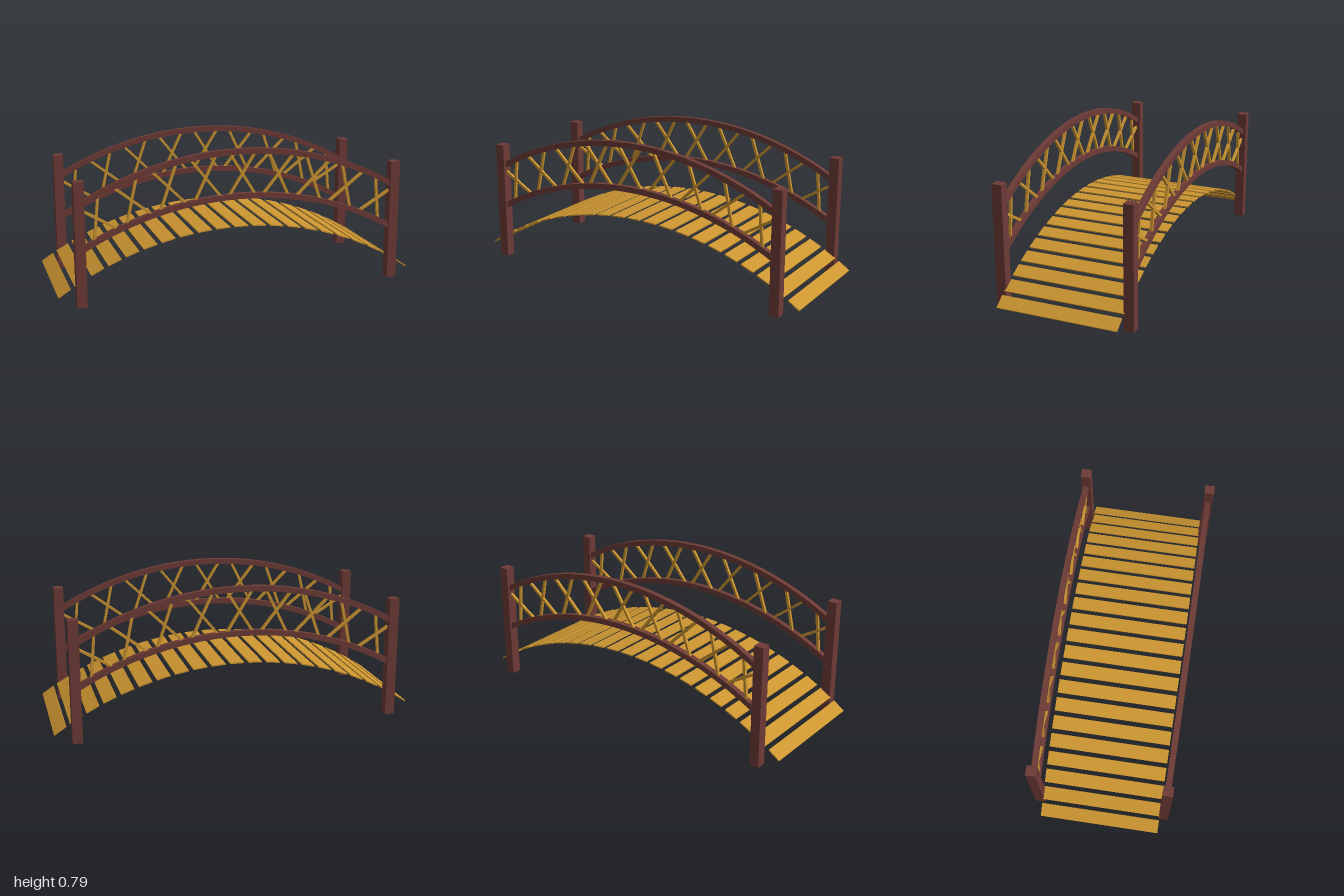
import * as THREE from 'three';

const RADIUS = 1.745;      // shared curvature of deck and rails
const TILT = -0.005;       // slight lean of the arched parts
const darkWood = new THREE.MeshStandardMaterial({ color: 0x6e3b36 });
const lightWood = new THREE.MeshStandardMaterial({ color: 0xcc9530 });

// Point on an arch with its crown at height top
const archPoint = (angle, top, r = RADIUS) =>
  new THREE.Vector2(r * Math.sin(angle), top - RADIUS + r * Math.cos(angle));

function box(name, w, h, d, material, parent) {
  const mesh = new THREE.Mesh(new THREE.BoxGeometry(w, h, d), material);
  mesh.name = name;
  parent.add(mesh);
  return mesh;
}

// Curved rail of square section, swept along the arch
function rail(name, crown, parent) {
  const half = 0.015, end = Math.asin(0.87 / RADIUS), steps = 40;
  const outer = [], inner = [];
  for (let i = 0; i <= steps; i++) {
    const a = -end + (2 * end * i) / steps;
    outer.push(archPoint(a, crown, RADIUS + half));
    inner.push(archPoint(a, crown, RADIUS - half));
  }
  const shape = new THREE.Shape([...outer, ...inner.reverse()]);
  const geometry = new THREE.ExtrudeGeometry(shape, { depth: 2 * half, bevelEnabled: false });
  geometry.translate(0, 0, -half);
  const mesh = new THREE.Mesh(geometry, darkWood);
  mesh.name = name;
  parent.add(mesh);
}

export function createModel() {
  const model = new THREE.Group();
  model.name = 'archedFootbridge';

  // Deck planks following the arch
  const deck = new THREE.Group();
  deck.name = 'deck';
  deck.rotation.z = TILT;
  for (let i = -10; i <= 10; i++) {
    const a = i * 0.0586;
    const p = archPoint(a, 0.357);
    const plank = box('plank', 0.077, 0.007, 0.67, lightWood, deck);
    plank.position.set(p.x, p.y, 0);
    plank.rotation.z = -a;
  }
  model.add(deck);

  for (const side of [-1, 1]) {
    // Corner posts
    for (const end of [-1, 1]) {
      box('post', 0.054, 0.67, 0.055, darkWood, model).position.set(end * 0.88, 0.335, side * 0.358);
    }

    // Railing with two arched rails
    const railing = new THREE.Group();
    railing.name = side > 0 ? 'frontRailing' : 'backRailing';
    railing.position.z = side * 0.358;
    railing.rotation.z = TILT;
    rail('topRail', 0.775, railing);
    rail('bottomRail', 0.533, railing);

    // Crossed lattice sticks, turned to follow the arch
    const lean = 0.56;
    for (let i = -4; i <= 4; i++) {
      const a = i * 0.117;
      const p = archPoint(a, 0.654);
      const length = (0.242 * Math.cos(a)) / Math.cos(lean);
      for (const s of [-1, 1]) {
        const stick = box('latticeStick', 0.014, length, 0.015, lightWood, railing);
        stick.position.set(p.x - 0.006, p.y, 0);
        stick.rotation.z = -a + s * lean;
      }
    }
    model.add(railing);
  }
  return model;
}
